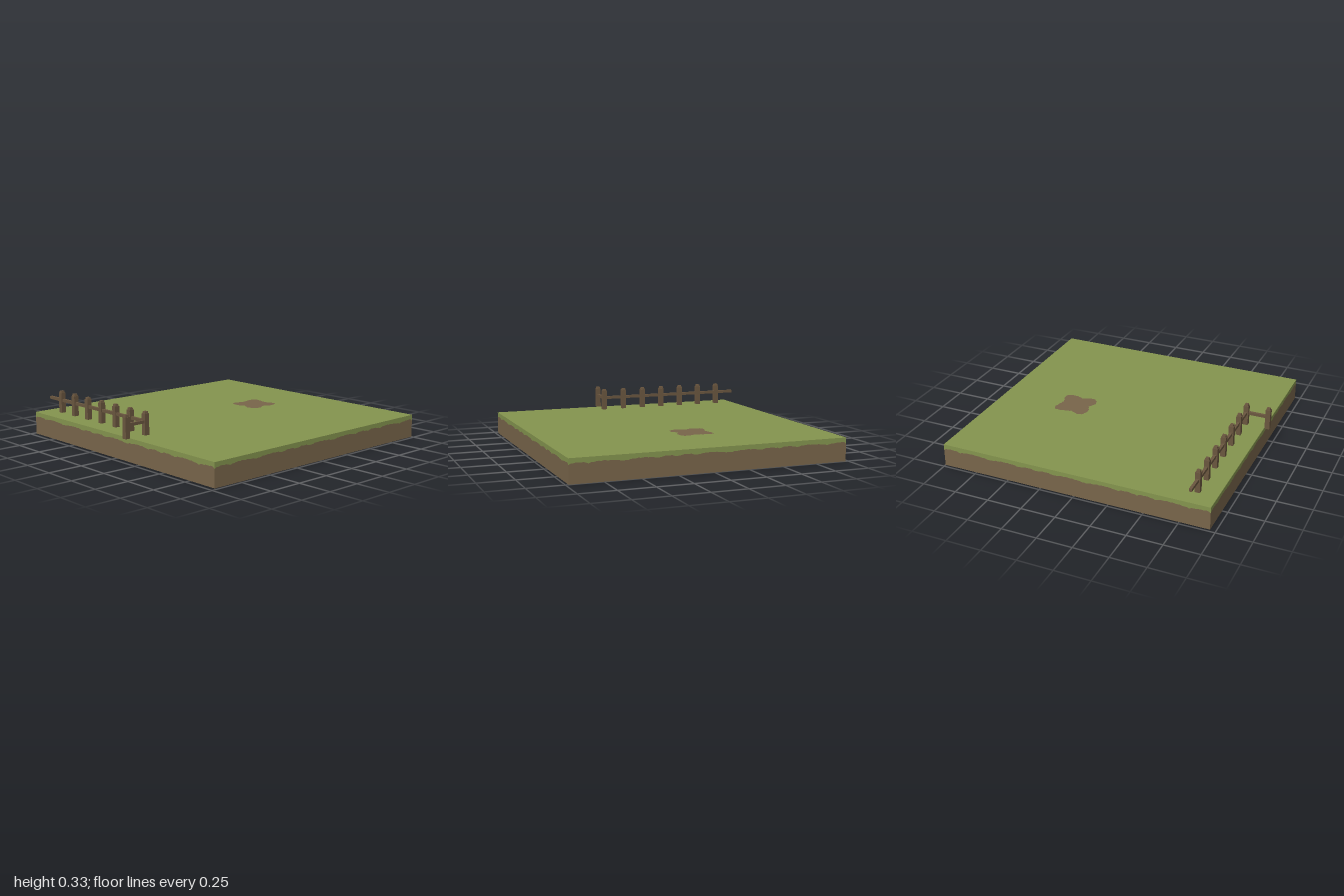
import * as THREE from 'three';

const HALF = 0.98, TOP = 0.165, CENTER_X = 0.02;

function material(name, color) {
  const m = new THREE.MeshStandardMaterial({ color });
  m.name = name;
  return m;
}

export function createModel() {
  const grass = material('grass green', 0x84944e);
  const dirt = material('dirt brown', 0x78654a);
  const wood = material('fence wood', 0x6a563f);

  const model = new THREE.Group();
  model.name = 'fencedField';
  const add = (parent, name, geometry, mat, x = 0, y = 0, z = 0) => {
    const mesh = new THREE.Mesh(geometry, mat);
    mesh.name = name;
    mesh.position.set(x, y, z);
    parent.add(mesh);
    return mesh;
  };

  // Ground block: top, underside and four two-coloured sides
  const ground = new THREE.Group();
  ground.name = 'ground';
  ground.position.x = CENTER_X;
  model.add(ground);
  const square = new THREE.PlaneGeometry(HALF * 2, HALF * 2);
  add(ground, 'grassTop', square, grass, 0, TOP, 0).rotation.x = -Math.PI / 2;
  add(ground, 'underside', square, dirt).rotation.x = Math.PI / 2;

  // Ragged line where the turf meets the soil, made of uneven scallops
  const edge = [];
  const steps = 120;
  for (let i = 0; i <= steps; i++) {
    const t = i / steps;
    const scallop = Math.abs(Math.sin(t * 34 + 0.9 * Math.sin(t * 17)));
    const y = 0.121 + 0.014 * Math.sqrt(scallop) + 0.002 * Math.sin(i * 2.3);
    edge.push(new THREE.Vector2((t * 2 - 1) * HALF, i === 0 || i === steps ? 0.122 : y));
  }
  const v = (x, y) => new THREE.Vector2(x, y);
  const soilFace = new THREE.ShapeGeometry(new THREE.Shape([v(HALF, 0), ...[...edge].reverse(), v(-HALF, 0)]));
  const turfFace = new THREE.ShapeGeometry(new THREE.Shape([...edge, v(HALF, TOP), v(-HALF, TOP)]));
  for (let i = 0; i < 4; i++) {
    const side = new THREE.Group();
    side.name = 'groundSide';
    side.rotation.y = i * Math.PI / 2;
    ground.add(side);
    add(side, 'soilFace', soilFace, dirt, 0, 0, HALF);
    add(side, 'turfFace', turfFace, grass, 0, 0, HALF);
  }

  // Bare patch with four ragged lobes
  const outline = [];
  for (let i = 0; i < 96; i++) {
    const a = i / 96 * Math.PI * 2;
    const r = 0.134 - 0.027 * Math.cos(4 * a) + 0.004 * Math.sin(9 * a + 1) + 0.003 * Math.sin(25 * a);
    outline.push(v(r * Math.cos(a), r * Math.sin(a)));
  }
  const patch = new THREE.ShapeGeometry(new THREE.Shape(outline));
  add(model, 'barePatch', patch, dirt, 0.425, TOP + 0.002, -0.083).rotation.x = -Math.PI / 2;

  // Fence: square posts with tapered caps
  const fence = new THREE.Group();
  fence.name = 'fence';
  model.add(fence);
  const cornerX = -0.82, cornerZ = 0.143, gap = 0.163;
  const body = new THREE.BoxGeometry(0.036, 0.147, 0.034);
  const cap = new THREE.CylinderGeometry(0.0165, 0.0205, 0.016, 4, 1).rotateY(Math.PI / 4).toNonIndexed();
  cap.computeVertexNormals();
  const addPost = (x, z) => {
    const post = new THREE.Group();
    post.name = 'fencePost';
    post.position.set(x, TOP, z);
    fence.add(post);
    add(post, 'postBody', body, wood, 0, 0.0735, 0);
    add(post, 'postCap', cap, wood, 0, 0.154, 0);
  };
  for (let i = 0; i < 7; i++) addPost(cornerX, cornerZ - i * gap);
  addPost(cornerX - gap + 0.001, cornerZ);

  // Rails: the long one runs to the back edge, the short one turns the corner
  const length = cornerZ + HALF;
  add(fence, 'longRail', new THREE.BoxGeometry(0.02, 0.021, length), wood, cornerX, 0.257, cornerZ - length / 2);
  add(fence, 'shortRail', new THREE.BoxGeometry(gap, 0.021, 0.02), wood, cornerX - gap / 2, 0.257, cornerZ);

  return model;
}
